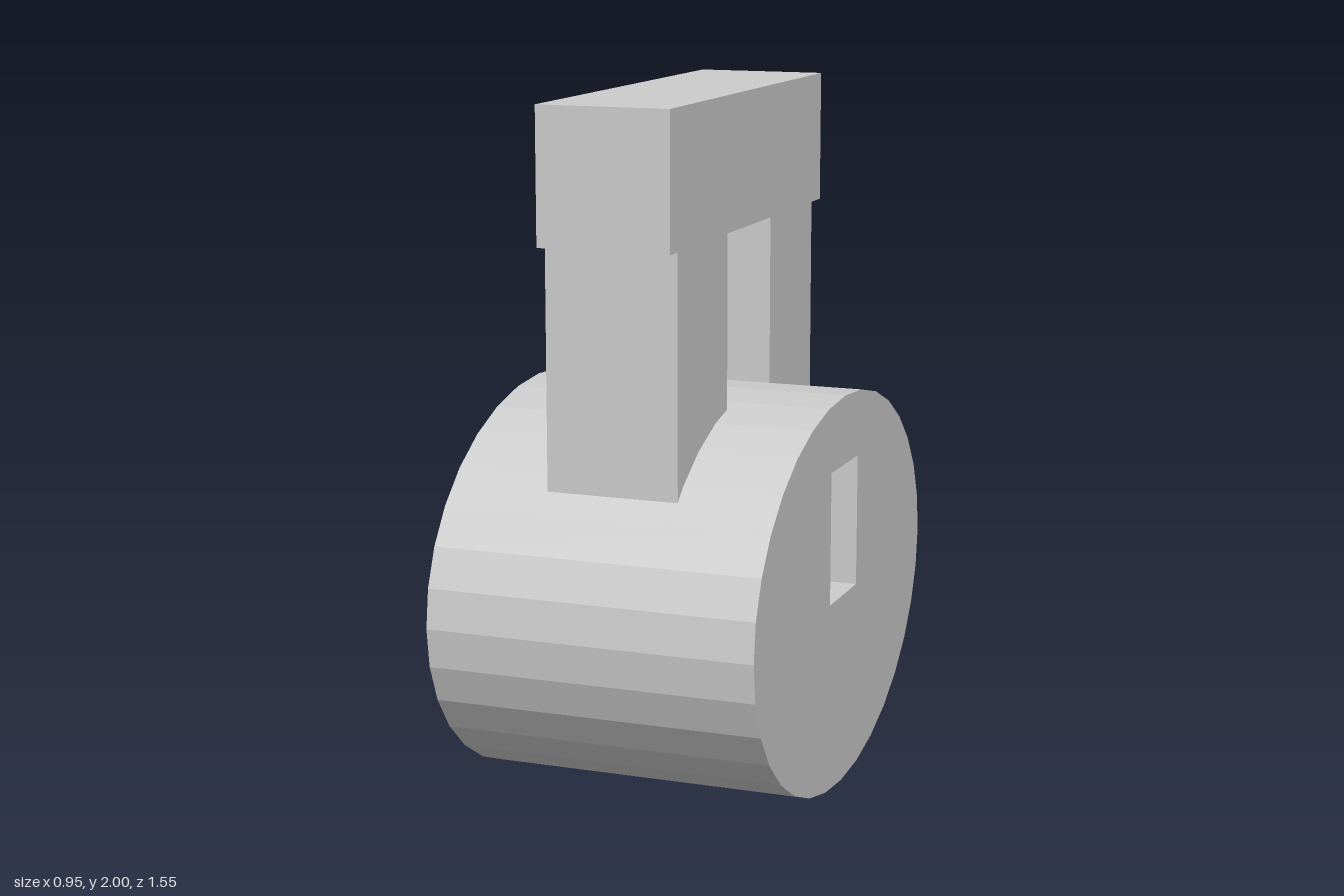
import * as THREE from 'three';

const material = new THREE.MeshStandardMaterial({ color: 0xcccccc, flatShading: true });

// Box given by its extents in y and z, centred on x = 0
function block(name, width, y0, y1, z0, z1) {
  const mesh = new THREE.Mesh(new THREE.BoxGeometry(width, y1 - y0, z1 - z0), material);
  mesh.position.set(0, (y0 + y1) / 2, (z0 + z1) / 2);
  mesh.name = name;
  return mesh;
}

// Elliptical drum lying along x, with a rectangular slot right through it
function drum() {
  const sides = 32, ry = 0.572, rz = 0.777, cy = 0.575, length = 0.946;
  const outline = [];
  for (let i = 0; i < sides; i++) {
    const a = (i / sides) * Math.PI * 2;
    outline.push(new THREE.Vector2(rz * Math.cos(a), cy + ry * Math.sin(a)));
  }
  const shape = new THREE.Shape(outline);
  shape.holes.push(new THREE.Path([
    new THREE.Vector2(-0.124, 0.563), new THREE.Vector2(-0.124, 0.948),
    new THREE.Vector2(0.124, 0.948), new THREE.Vector2(0.124, 0.563),
  ]));
  const geometry = new THREE.ExtrudeGeometry(shape, { depth: length, bevelEnabled: false });
  geometry.translate(0, 0, -length / 2).rotateY(Math.PI / 2);
  const mesh = new THREE.Mesh(geometry, material);
  mesh.name = 'drum';
  return mesh;
}

export function createModel() {
  const group = new THREE.Group();
  group.name = 'drumWithHandle';
  const width = 0.38;
  group.add(drum());
  // Handle: two posts sunk into the drum, with a crossbar on top
  group.add(block('frontPost', width, 0.88, 1.62, 0.203, 0.59));
  group.add(block('backPost', width, 0.88, 1.62, -0.54, -0.16));
  group.add(block('crossbar', width, 1.62, 2, -0.621, 0.645));
  return group;
}
